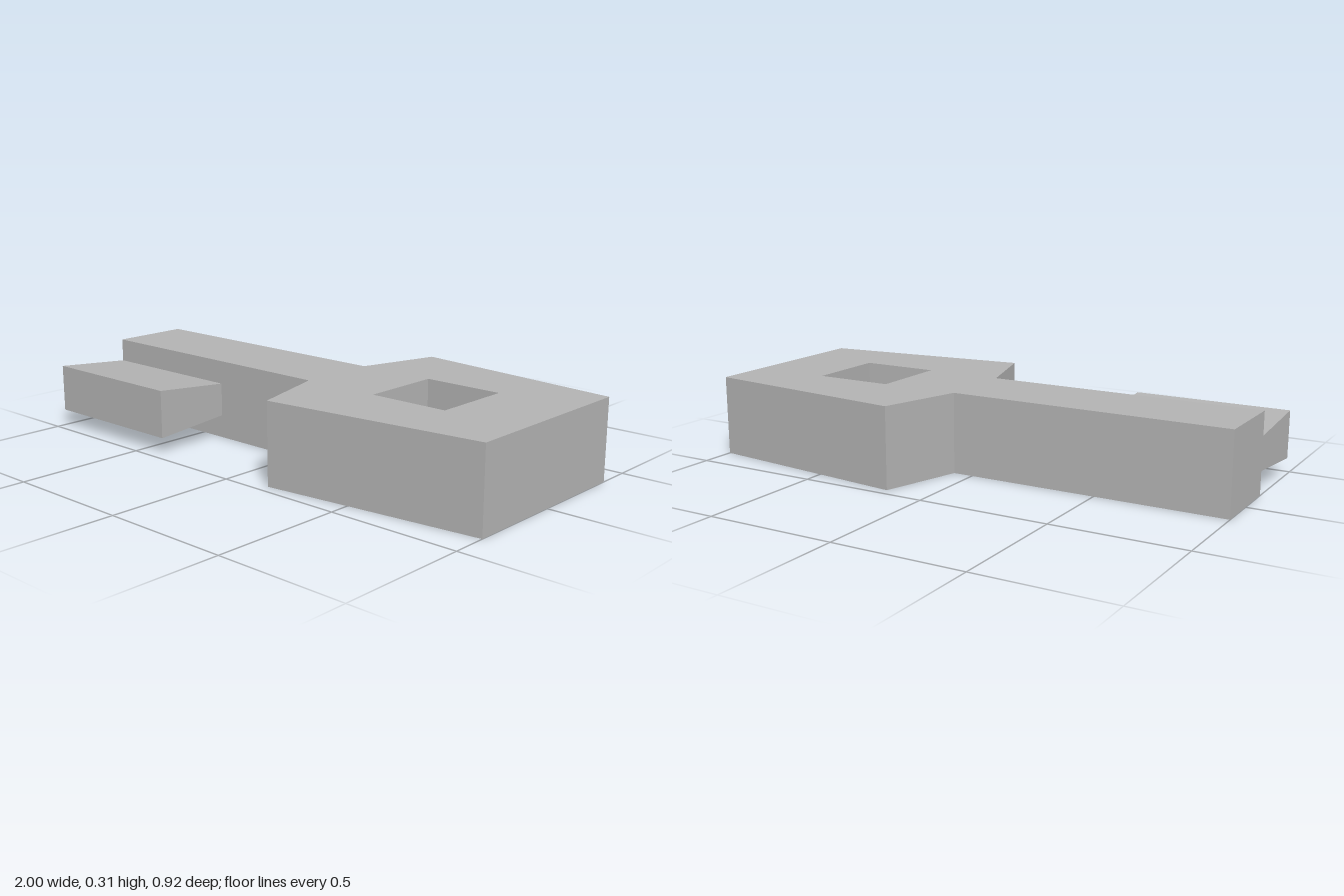
import * as THREE from 'three';

const polygon = (points, Type = THREE.Shape) => new Type(points.map(([a, b]) => new THREE.Vector2(a, b)));

export function createModel() {
  const model = new THREE.Group();
  const grey = new THREE.MeshStandardMaterial({ color: 0xb2b2b2 });
  grey.name = 'plain grey';

  // Shaft and flared head in one slab; plan points are (x, -z)
  const plan = polygon([
    [-1, -0.153], [0.077, -0.153], [0.168, -0.46], [1, -0.367],
    [1, 0.369], [0.168, 0.462], [0.077, 0.155], [-1, 0.155],
  ]);
  // Square hole through the head
  plan.holes.push(polygon([[0.382, -0.155], [0.382, 0.158], [0.69, 0.158], [0.69, -0.155]], THREE.Path));
  const slab = new THREE.ExtrudeGeometry(plan, { depth: 0.308, bevelEnabled: false });
  slab.rotateX(-Math.PI / 2);
  const body = new THREE.Mesh(slab, grey);
  body.name = 'shaftAndHead';
  model.add(body);

  // Side tab, thickening away from the shaft; section points are (z, y)
  const section = polygon([[0.153, 0.09], [0.46, 0.063], [0.46, 0.246], [0.153, 0.218]]);
  const wedge = new THREE.ExtrudeGeometry(section, { depth: 0.61, bevelEnabled: false });
  wedge.rotateY(-Math.PI / 2).translate(-0.39, 0, 0);
  const tab = new THREE.Mesh(wedge, grey);
  tab.name = 'sideTab';
  model.add(tab);

  return model;
}
